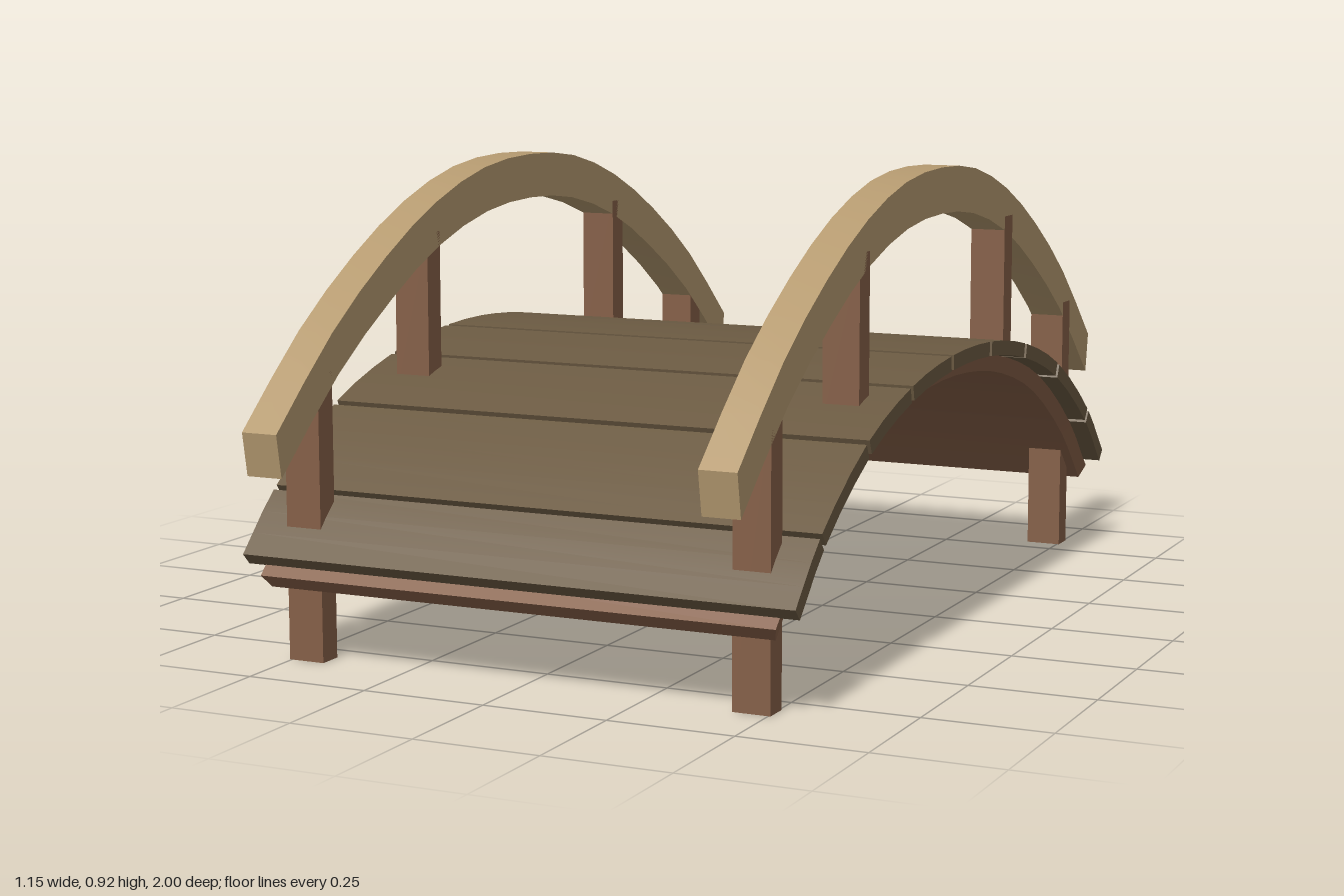
import * as THREE from 'three';
import { toCreasedNormals } from 'three/addons/utils/BufferGeometryUtils.js';

const material = (color) => new THREE.MeshStandardMaterial({ color });

// Mirror half an arch, given as [z, y] from the end to the middle, into a curve along +z
function archCurve(half) {
  const back = half.map(([z, y]) => new THREE.Vector3(0, y, -z));
  const front = half.filter(([z]) => z > 0).reverse().map(([z, y]) => new THREE.Vector3(0, y, z));
  return new THREE.CatmullRomCurve3([...back, ...front]);
}

// Points along a curve from t0 to t1, each sunk below the surface by depth
function sample(curve, t0, t1, steps, depth = 0) {
  const points = [];
  for (let i = 0; i <= steps; i++) {
    const t = t0 + ((t1 - t0) * i) / steps;
    const tan = curve.getTangent(t);
    points.push(curve.getPoint(t).add(new THREE.Vector3(0, -tan.z, tan.y).multiplyScalar(depth)));
  }
  return points;
}

// Solid strip between an upper and a lower line, with a half width for each
function band(upper, lower, wUpper, wLower = wUpper) {
  const pos = [];
  const index = [];
  const quad = (a, b, c, d) => index.push(a, b, c, a, c, d);
  upper.forEach((u, i) => {
    const l = lower[i];
    pos.push(-wUpper, u.y, u.z, wUpper, u.y, u.z, wLower, l.y, l.z, -wLower, l.y, l.z);
  });
  for (let i = 0; i < upper.length - 1; i++) {
    for (let k = 0; k < 4; k++) {
      const a = i * 4 + k;
      const b = i * 4 + ((k + 1) % 4);
      quad(a, a + 4, b + 4, b);
    }
  }
  const e = (upper.length - 1) * 4;
  quad(0, 1, 2, 3);
  quad(e + 3, e + 2, e + 1, e);
  const geometry = new THREE.BufferGeometry();
  geometry.setAttribute('position', new THREE.Float32BufferAttribute(pos, 3));
  geometry.setIndex(index);
  return toCreasedNormals(geometry, 0.5);
}

export function createModel() {
  const model = new THREE.Group();
  const railWood = material(0xb59a70);
  const postWood = material(0x855f47);
  const plankWood = material(0x6b5a42);
  const add = (name, geometry, mat, x = 0, y = 0, z = 0) => {
    const mesh = new THREE.Mesh(geometry, mat);
    mesh.name = name;
    mesh.position.set(x, y, z);
    model.add(mesh);
  };

  // Nine planks; the arch points are the joints between them
  const joints = [[0.79, 0.32], [0.565, 0.455], [0.34, 0.527], [0.115, 0.559]];
  const deck = archCurve([[0.905, 0.21], ...joints]);
  for (let i = 0; i < 9; i++) {
    const t0 = (i + (i > 0 ? 0.03 : 0)) / 9;
    const t1 = (i + (i < 8 ? 0.97 : 1)) / 9;
    add('plank', band(sample(deck, t0, t1, 3), sample(deck, t0, t1, 3, 0.03), 0.573), plankWood);
  }

  // Curved base under the planks, slightly longer and with slanted sides
  const base = archCurve([[0.925, 0.195], ...joints]);
  add('deckBase', band(sample(base, 0, 1, 27, 0.032), sample(base, 0, 1, 27, 0.066), 0.535, 0.525), postWood);

  // Handrails and their posts on both sides
  const railTop = archCurve([[1, 0.465], [0.8, 0.632], [0.6, 0.757], [0.4, 0.85], [0.2, 0.906], [0, 0.921]]);
  const railBottom = archCurve([[0.985, 0.38], [0.78, 0.55], [0.58, 0.672], [0.39, 0.761], [0.19, 0.814], [0, 0.828]]);
  const rail = band(sample(railTop, 0, 1, 20), sample(railBottom, 0, 1, 20), 0.0375);
  for (const x of [-0.467, 0.467]) {
    add('handrail', rail, railWood, x);
    for (const s of [-1, 1]) {
      add('endPost', new THREE.BoxGeometry(0.075, 0.56, 0.05), postWood, x, 0.28, s * 0.83);
      add('middlePost', new THREE.BoxGeometry(0.075, 0.32, 0.05), postWood, x, 0.63, s * 0.415);
    }
  }
  return model;
}
